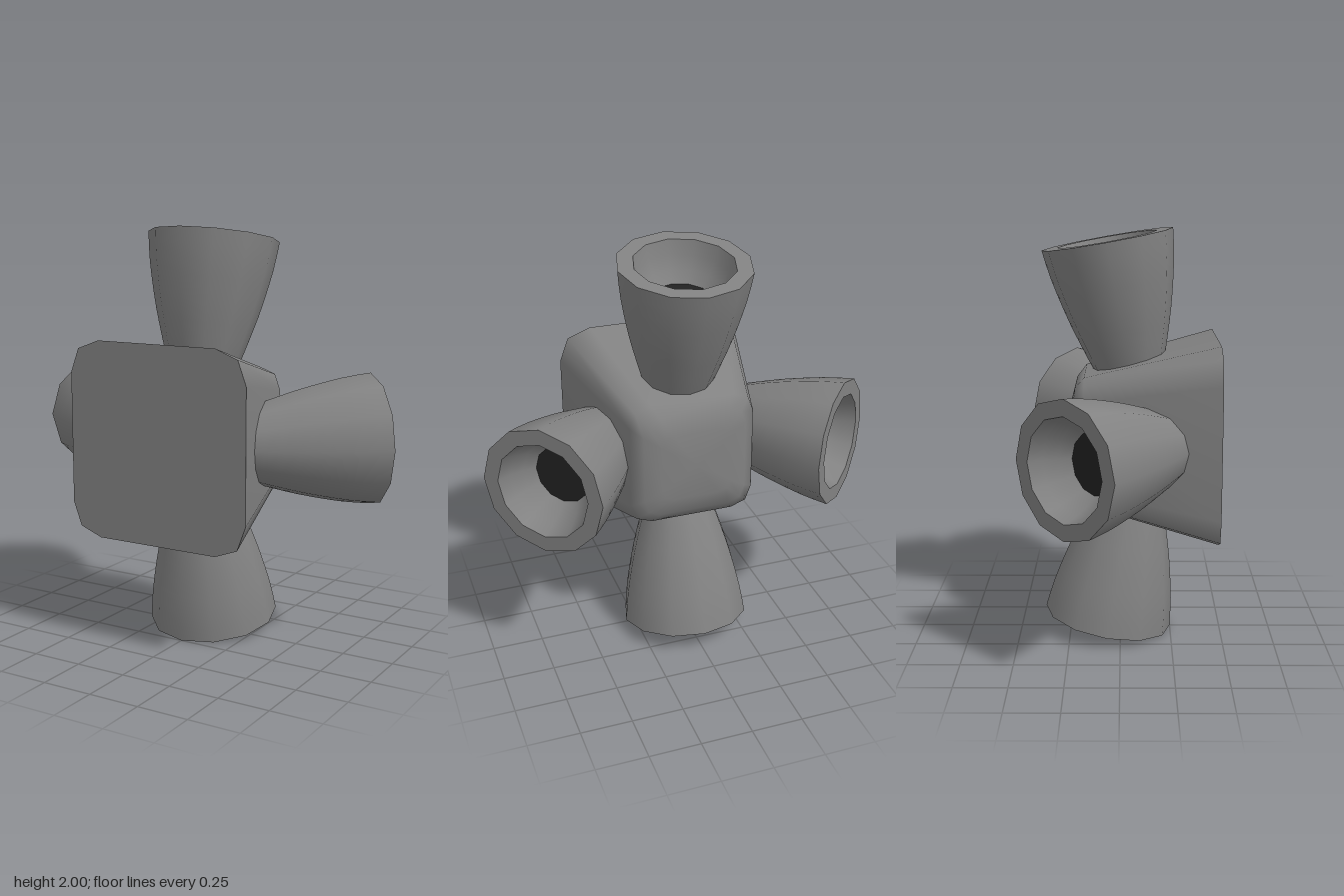
import * as THREE from 'three';

const grey = new THREE.MeshStandardMaterial({ color: 0x828282 });
grey.name = 'grey metal';
const dark = new THREE.MeshStandardMaterial({ color: 0x222222 });
dark.name = 'dark throat';

const pts = (list) => list.map(([x, y]) => new THREE.Vector2(x, y));

// Square outline with two-step corners, counter-clockwise seen from +z
function outline(half) {
  const corner = [[0.473, 0.315], [0.43, 0.43], [0.315, 0.473]];
  const loop = [];
  for (let q = 0; q < 4; q++) {
    for (const [x, y] of corner) {
      const v = new THREE.Vector2(x, y).multiplyScalar(half / 0.473);
      loop.push(v.rotateAround(new THREE.Vector2(), q * Math.PI / 2));
    }
  }
  return loop;
}

// Tapered shell from cross-sections, with a rounded closed back
function shellGeometry() {
  const sections = [[0.465, 0.473], [-0.17, 0.31], [-0.215, 0.255], [-0.237, 0.17]];
  const n = 12, position = [], index = [];
  for (const [z, half] of sections) {
    for (const p of outline(half)) position.push(p.x, p.y, z);
  }
  for (let s = 0; s < sections.length - 1; s++) {
    for (let i = 0; i < n; i++) {
      const a = s * n + i, b = s * n + (i + 1) % n;
      index.push(a, a + n, b, b, a + n, b + n);
    }
  }
  const last = (sections.length - 1) * n, tip = position.length / 3;
  position.push(0, 0, -0.243);
  for (let i = 0; i < n; i++) index.push(last + i, tip, last + (i + 1) % n);
  const g = new THREE.BufferGeometry();
  g.setAttribute('position', new THREE.Float32BufferAttribute(position, 3));
  g.setIndex(index);
  g.computeVertexNormals();
  return g;
}

function part(name, geometry, material) {
  const mesh = new THREE.Mesh(geometry, material);
  mesh.name = name;
  return mesh;
}

// Bell nozzle pointing along +y, with the rim centre at the origin
function nozzle(name) {
  const bell = new THREE.SplineCurve(pts([
    [0.12, -0.75], [0.176, -0.6], [0.217, -0.47], [0.248, -0.364],
    [0.277, -0.244], [0.302, -0.12], [0.317, 0],
  ])).getPoints(10);
  const group = new THREE.Group();
  group.name = name;
  group.add(
    part('nozzleBell', new THREE.LatheGeometry(bell, 12), grey),
    part('nozzleRim', new THREE.LatheGeometry(pts([[0.317, 0], [0.24, 0]]), 12), grey),
    part('nozzleInside', new THREE.LatheGeometry(
      pts([[0.24, 0], [0.218, -0.07], [0.187, -0.135], [0.142, -0.19]]), 12), grey),
    part('nozzleThroat', new THREE.CircleGeometry(0.15, 24)
      .rotateX(-Math.PI / 2).translate(0, -0.185, 0), dark),
  );
  return group;
}

export function createModel() {
  const model = new THREE.Group();
  model.name = 'thrusterBlock';

  // Body: tapered shell and flat front plate
  const body = new THREE.Group();
  body.name = 'body';
  body.position.y = 1.003;
  body.add(
    part('bodyShell', shellGeometry(), grey),
    part('frontPlate', new THREE.ShapeGeometry(new THREE.Shape(outline(0.473)))
      .translate(0, 0, 0.465), grey),
  );
  model.add(body);

  // Upper and lower nozzles lean 10 degrees back; side nozzles 45 degrees
  const deg = Math.PI / 180;
  for (const s of [1, -1]) {
    const vertical = nozzle(s > 0 ? 'upperNozzle' : 'lowerNozzle');
    vertical.position.set(0, 1 + s * 0.945, -0.063);
    vertical.rotation.x = (s > 0 ? -10 : -170) * deg;

    const side = nozzle(s > 0 ? 'leftNozzle' : 'rightNozzle');
    side.position.set(s * 0.752, 1, -0.242);
    side.rotation.set(-90 * deg, -s * 45 * deg, 0, 'YXZ');
    model.add(vertical, side);
  }
  return model;
}
